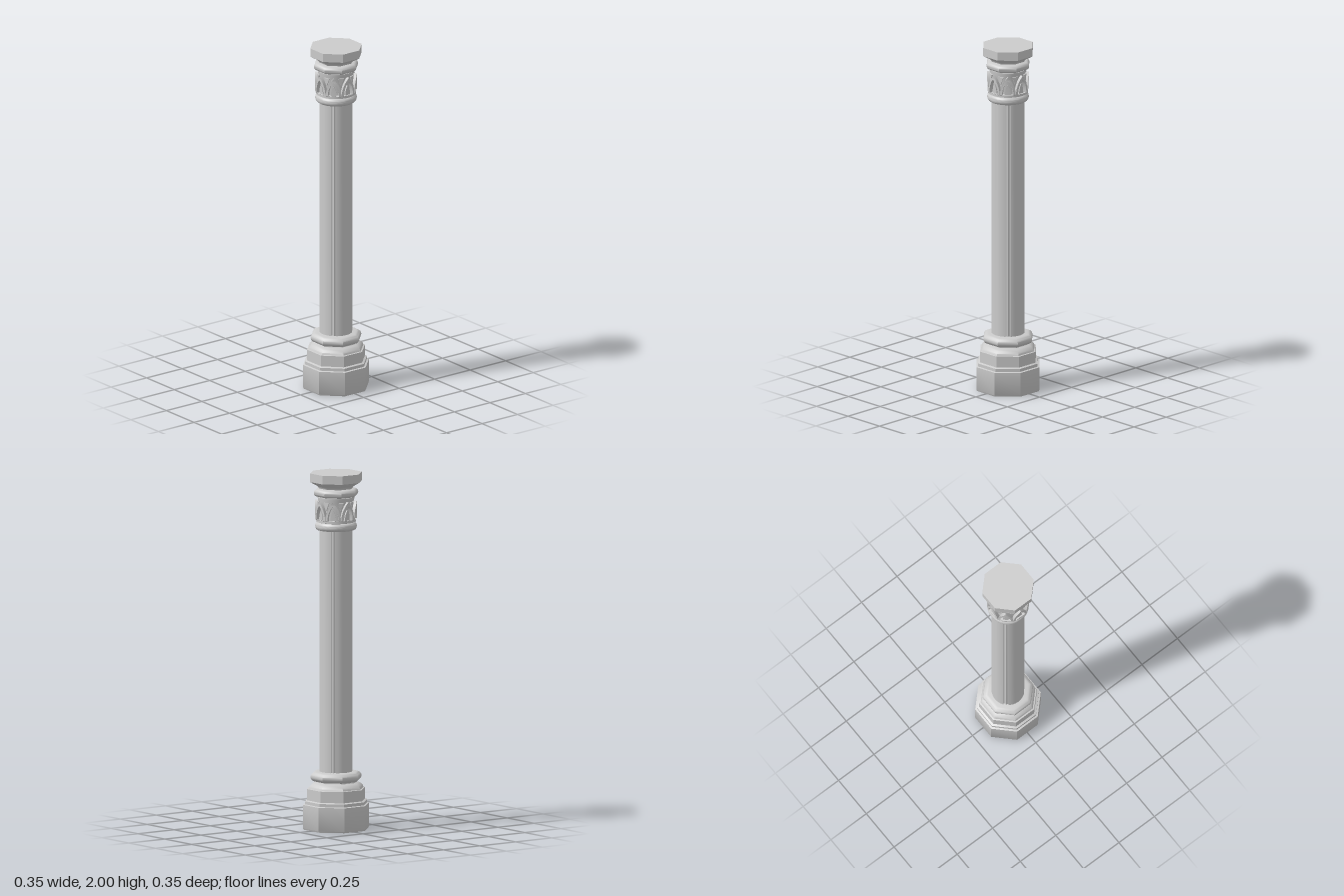
import * as THREE from 'three';
import { toCreasedNormals } from 'three/addons/utils/BufferGeometryUtils.js';

const material = new THREE.MeshStandardMaterial({ color: 0xcccccc, side: THREE.DoubleSide });

function addMesh(parent, name, geometry, crease = 0.7) {
  const mesh = new THREE.Mesh(toCreasedNormals(geometry, crease), material);
  mesh.name = name;
  parent.add(mesh);
  return mesh;
}

// Octagonal turning with flats facing the axes; profile is [apothem, y]
function octagon(parent, name, profile) {
  const k = 1 / Math.cos(Math.PI / 8);
  const points = profile.map(([r, y]) => new THREE.Vector2(r * k, y));
  return addMesh(parent, name, new THREE.LatheGeometry(points, 8, Math.PI / 8));
}

function round(parent, name, profile) {
  const points = profile.map(([r, y]) => new THREE.Vector2(r, y));
  return addMesh(parent, name, new THREE.LatheGeometry(points, 48));
}

// Half-round moulding from y0 to y1, bulging out from r by depth
function bulge(r, depth, y0, y1, steps = 10) {
  return Array.from({ length: steps + 1 }, (_, i) => {
    const a = (i / steps - 0.5) * Math.PI;
    return [r + depth * Math.cos(a), (y0 + y1) / 2 + ((y1 - y0) / 2) * Math.sin(a)];
  });
}

// Pointed arch outline standing on y = 0
function pointedArch(Path, halfWidth, height, y0 = 0) {
  const path = new Path();
  path.moveTo(-halfWidth, y0);
  path.lineTo(halfWidth, y0);
  path.quadraticCurveTo(halfWidth * 0.95, y0 + height * 0.62, 0, y0 + height);
  path.quadraticCurveTo(-halfWidth * 0.95, y0 + height * 0.62, -halfWidth, y0);
  return path;
}

// Extrude a flat shape and wrap it round a cylinder of the given radius
function wrapped(shape, radius, depth) {
  const geometry = new THREE.ExtrudeGeometry(shape, { depth, bevelEnabled: false, curveSegments: 10 });
  const p = geometry.attributes.position;
  for (let i = 0; i < p.count; i++) {
    const a = p.getX(i) / 0.115;
    const r = radius + p.getZ(i);
    p.setXYZ(i, r * Math.sin(a), p.getY(i), r * Math.cos(a));
  }
  return geometry;
}

// Round shaft with a beaded groove on each diagonal
function shaftGeometry(y0, y1) {
  const points = [];
  const add = (r, degrees) => {
    const a = THREE.MathUtils.degToRad(degrees);
    points.push(new THREE.Vector2(r * Math.cos(a), r * Math.sin(a)));
  };
  for (let q = 0; q < 4; q++) {
    const turn = q * 90;
    for (let d = -36; d <= 36; d += 6) add(0.092, turn + d);
    [[0.083, 36.5], [0.083, 41], [0.088, 42.5], [0.09, 45],
      [0.088, 47.5], [0.083, 49], [0.083, 53.5]].forEach(([r, d]) => add(r, turn + d));
  }
  const geometry = new THREE.ExtrudeGeometry(new THREE.Shape(points), { depth: y1 - y0, bevelEnabled: false });
  return geometry.rotateX(-Math.PI / 2).translate(0, y0, 0);
}

export function createModel() {
  const model = new THREE.Group();
  model.name = 'column';

  // Stepped plinth, hollow underneath
  octagon(model, 'plinth', [
    [0.171, 0], [0.175, 0.008], [0.175, 0.14], [0.165, 0.143], [0.165, 0.16],
    [0.154, 0.165], [0.154, 0.228], [0.146, 0.23],
  ]);

  // Base mouldings
  octagon(model, 'baseMoulding', [
    [0.146, 0.23], [0.142, 0.24], [0.134, 0.25], [0.122, 0.258], [0.108, 0.263], [0.106, 0.268],
    ...bulge(0.106, 0.029, 0.268, 0.322), [0.085, 0.324],
  ]);

  addMesh(model, 'shaft', shaftGeometry(0.3, 1.7), 0.4);

  // Capital
  const capital = new THREE.Group();
  capital.name = 'capital';
  model.add(capital);

  round(capital, 'neckRing', [[0.085, 1.68], ...bulge(0.1, 0.016, 1.68, 1.724), [0.112, 1.727], [0.112, 1.74], [0.096, 1.742]]);
  round(capital, 'bell', [[0.096, 1.735], [0.096, 1.80], [0.098, 1.84], [0.102, 1.858], [0.102, 1.866], [0.088, 1.868]]);

  // Ring of pointed arches with a leaf in each and a bud between
  for (let i = 0; i < 8; i++) {
    const bay = new THREE.Group();
    bay.name = 'archBay';
    bay.rotation.y = (i * Math.PI) / 4;
    capital.add(bay);

    const frame = pointedArch(THREE.Shape, 0.045, 0.108);
    frame.holes.push(pointedArch(THREE.Path, 0.032, 0.082, 0.004));
    addMesh(bay, 'arch', wrapped(frame, 0.094, 0.023)).position.y = 1.738;

    const leaf = pointedArch(THREE.Shape, 0.018, 0.06);
    addMesh(bay, 'leaf', wrapped(leaf, 0.094, 0.012)).position.y = 1.738;

    const bud = new THREE.Shape([[0, 0.06], [0.018, 0.104], [-0.018, 0.104]].map(([x, y]) => new THREE.Vector2(x, y)));
    const budMesh = addMesh(bay, 'bud', wrapped(bud, 0.094, 0.012));
    budMesh.position.y = 1.738;
    budMesh.rotation.y = Math.PI / 8;
  }

  // Upper mouldings and abacus
  octagon(capital, 'upperMoulding', [
    [0.085, 1.864], ...bulge(0.096, 0.022, 1.868, 1.912), [0.09, 1.914],
    [0.093, 1.922], [0.101, 1.93], [0.113, 1.937], [0.12, 1.941], [0.124, 1.95],
  ]);
  octagon(capital, 'abacus', [[0.122, 1.942], [0.137, 1.952], [0.137, 2], [0, 2]]);

  return model;
}
